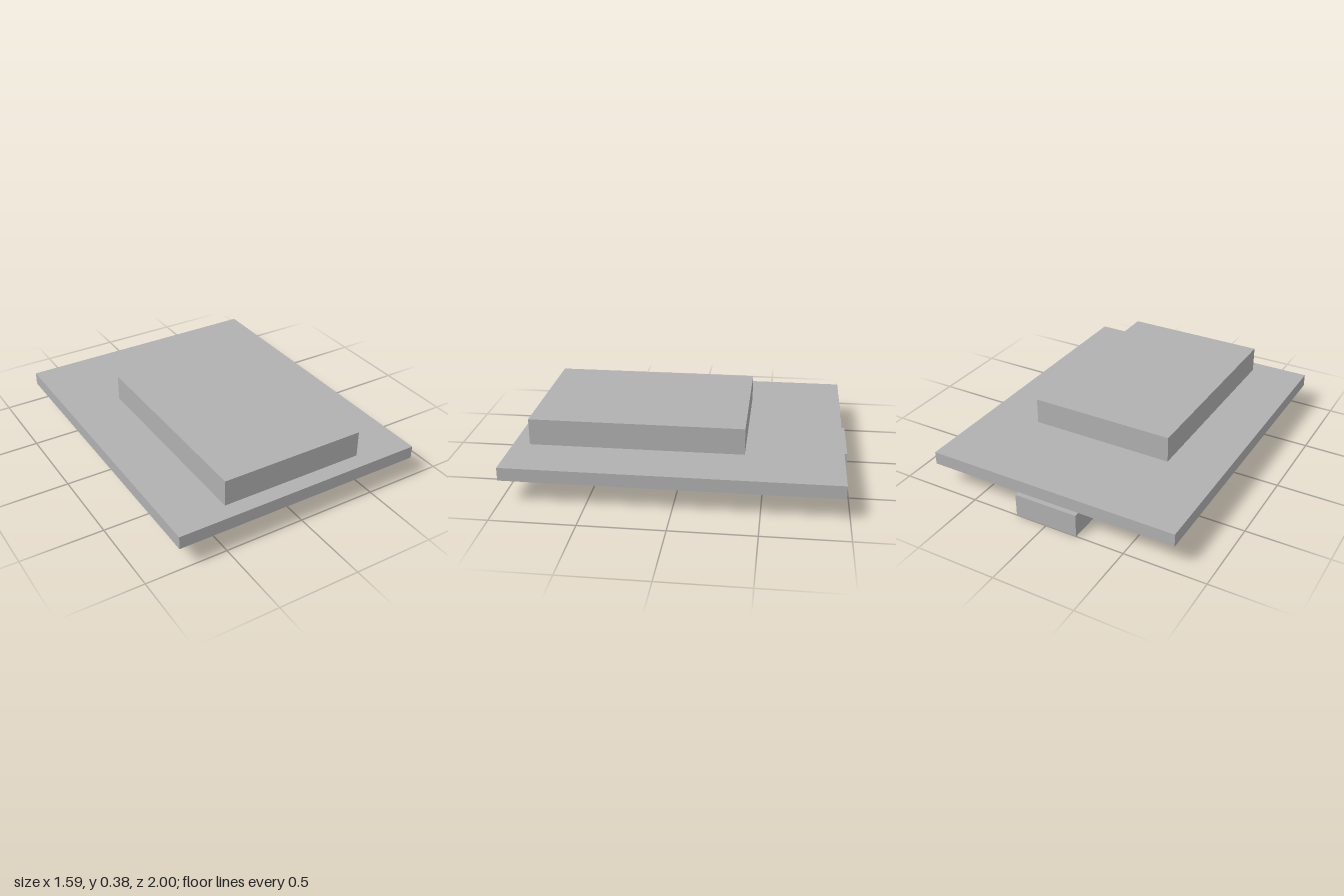
import * as THREE from 'three';

export function createModel() {
  const model = new THREE.Group();
  const grey = new THREE.MeshStandardMaterial({ color: 0xb0b0b0 });
  grey.name = 'plain grey';

  // Box given by its lower and upper limits on each axis
  function block(name, [x0, x1], [y0, y1], [z0, z1]) {
    const mesh = new THREE.Mesh(new THREE.BoxGeometry(x1 - x0, y1 - y0, z1 - z0), grey);
    mesh.name = name;
    mesh.position.set((x0 + x1) / 2, (y0 + y1) / 2, (z0 + z1) / 2);
    model.add(mesh);
  }

  // Flat board carrying a raised module on top and a connector below its back edge
  block('board', [-0.793, 0.793], [0.143, 0.223], [-0.97, 1]);
  block('raisedModule', [-0.453, 0.453], [0.223, 0.385], [-0.39, 0.9]);
  block('connector', [-0.2, 0.2], [0, 0.143], [-1, -0.72]);

  return model;
}
